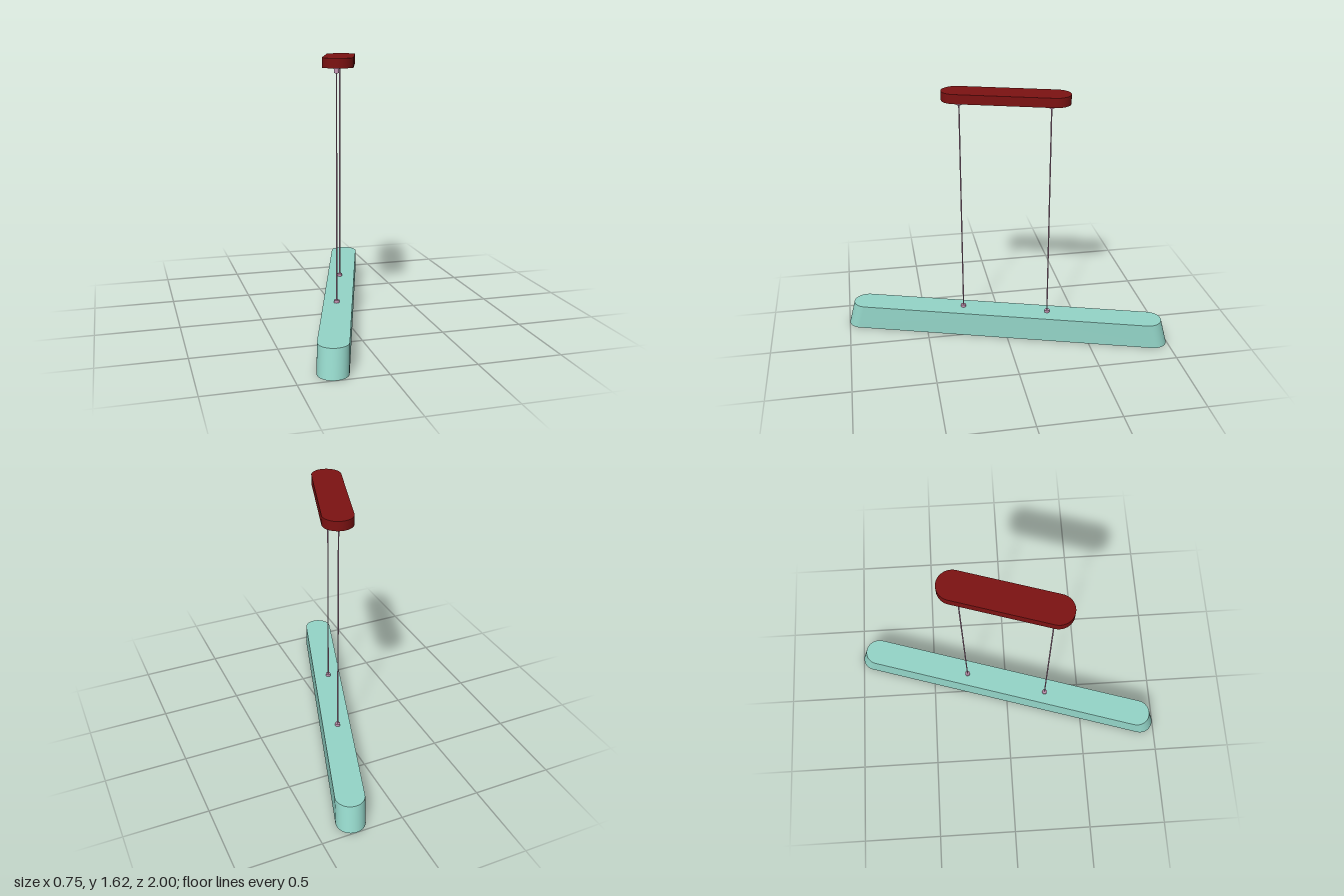
import * as THREE from 'three';
import { toCreasedNormals } from 'three/addons/utils/BufferGeometryUtils.js';

const ARC = 24; // segments per rounded end

// Stacks stadium-shaped rings [halfLength, radius, y] into a closed surface.
function stadiumLoft(profile) {
  const position = [];
  const index = [];
  const count = 2 * (ARC + 1);
  for (const [half, r, y] of profile) {
    for (const side of [1, -1]) {
      for (let j = 0; j <= ARC; j++) {
        const t = (j / ARC) * Math.PI;
        position.push(side * r * Math.cos(t), y, side * (r * Math.sin(t) + half));
      }
    }
  }
  for (let i = 0; i < profile.length - 1; i++) {
    for (let j = 0; j < count; j++) {
      const a = i * count + j;
      const b = i * count + (j + 1) % count;
      index.push(a, a + count, b, b, a + count, b + count);
    }
  }
  const geometry = new THREE.BufferGeometry();
  geometry.setAttribute('position', new THREE.Float32BufferAttribute(position, 3));
  geometry.setIndex(index);
  return toCreasedNormals(geometry.toNonIndexed(), 0.6);
}

export function createModel() {
  const lamp = new THREE.Group();
  lamp.name = 'pendantLamp';

  const teal = new THREE.MeshStandardMaterial({ color: 0x94d6c9 });
  const red = new THREE.MeshStandardMaterial({ color: 0x7d1212 });
  const pink = new THREE.MeshStandardMaterial({ color: 0xc898b8 });

  const add = (name, geometry, material, x = 0, y = 0, z = 0) => {
    const mesh = new THREE.Mesh(geometry, material);
    mesh.name = name;
    mesh.position.set(x, y, z);
    lamp.add(mesh);
  };

  // Long shade: ends slope inwards, underside has a rim, groove and diffuser
  add('shade', stadiumLoft([
    [0.957, 0, 0.012],
    [0.957, 0.05, 0.012],
    [0.957, 0.05, 0.022],
    [0.957, 0.066, 0.022],
    [0.957, 0.066, 0],
    [0.957, 0.087, 0],
    [0.915, 0.087, 0.16],
    [0.915, 0, 0.16],
  ]), teal);

  // Ceiling canopy
  add('canopy', stadiumLoft([
    [0.292, 0, 1.56],
    [0.292, 0.09, 1.56],
    [0.292, 0.09, 1.617],
    [0.292, 0, 1.617],
  ]), red, 0, 0, -0.005);

  // Two suspension rods with a fitting at each end
  const cylinder = (r, h) => new THREE.CylinderGeometry(r, r, h, 24);
  for (const [side, z] of [['front', 0.273], ['back', -0.273]]) {
    const x = -0.007;
    add(side + 'Rod', cylinder(0.004, 1.4), pink, x, 0.85, z);
    add(side + 'LowerFitting', cylinder(0.016, 0.018), pink, x, 0.167, z);
    add(side + 'UpperFitting', cylinder(0.0145, 0.033), pink, x, 1.5445, z);
    add(side + 'UpperCollar', cylinder(0.0175, 0.01), pink, x, 1.556, z);
  }

  // The whole lamp hangs at a slant to the axes
  lamp.rotation.y = -0.305;
  const model = new THREE.Group();
  model.name = 'model';
  model.add(lamp);
  return model;
}
